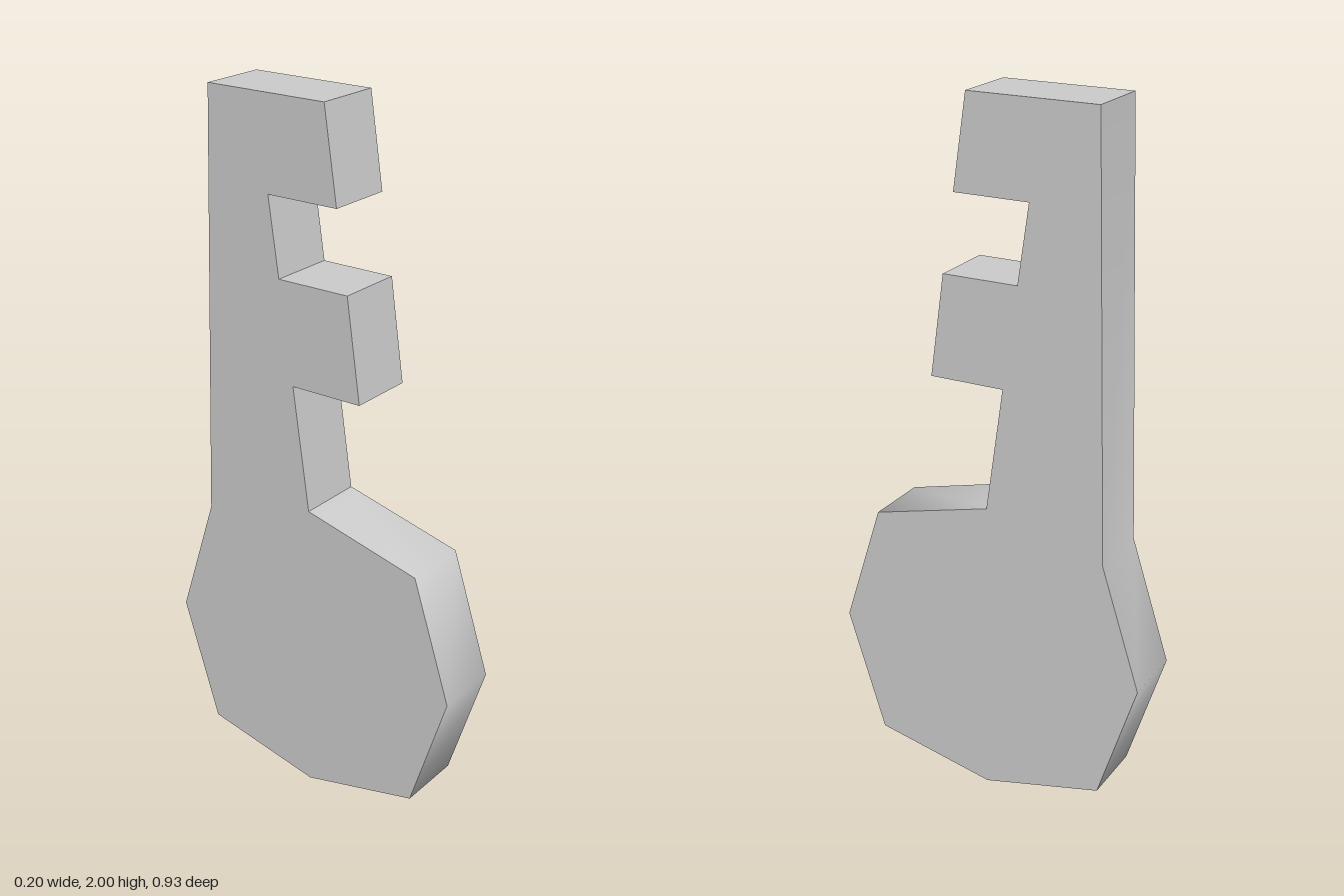
import * as THREE from 'three';
import { toCreasedNormals } from 'three/addons/utils/BufferGeometryUtils.js';

const THICKNESS = 0.196;

// Outline points are [z, y], running counter-clockwise.
// Back half of the eight-sided bow, from the bottom tip up to the shaft.
const bowBack = [[-0.352, 0.08], [-0.465, 0.432], [-0.352, 0.785]];
// Front half mirrors it.
const bowFront = bowBack.map(([z, y]) => [-z, y]);

// Shaft with two slanted teeth on its front edge, from the bow to the top.
const shaft = [
  [0, 0.875], [-0.05, 1.23],
  [0.167, 1.23], [0.127, 1.52], // lower tooth
  [-0.093, 1.52], [-0.125, 1.74],
  [0.093, 1.74], [0.055, 2], // upper tooth
  [-0.316, 2],
];

export function createModel() {
  const outline = [[0, 0], ...bowFront, ...shaft, ...bowBack.reverse().slice()];
  bowBack.reverse(); // restore order for repeated calls

  const shape = new THREE.Shape(outline.map(([z, y]) => new THREE.Vector2(z, y)));
  let geometry = new THREE.ExtrudeGeometry(shape, { depth: THICKNESS, bevelEnabled: false });
  geometry.translate(0, 0, -THICKNESS / 2);
  geometry.rotateY(-Math.PI / 2); // outline into the z-y plane

  // Smooth rim around the bow, sharp teeth and flat sides
  geometry = toCreasedNormals(geometry, THREE.MathUtils.degToRad(62));

  const key = new THREE.Mesh(geometry, new THREE.MeshStandardMaterial({ color: 0xcccccc }));
  key.name = 'keyBody';

  const group = new THREE.Group();
  group.name = 'key';
  group.add(key);
  return group;
}
